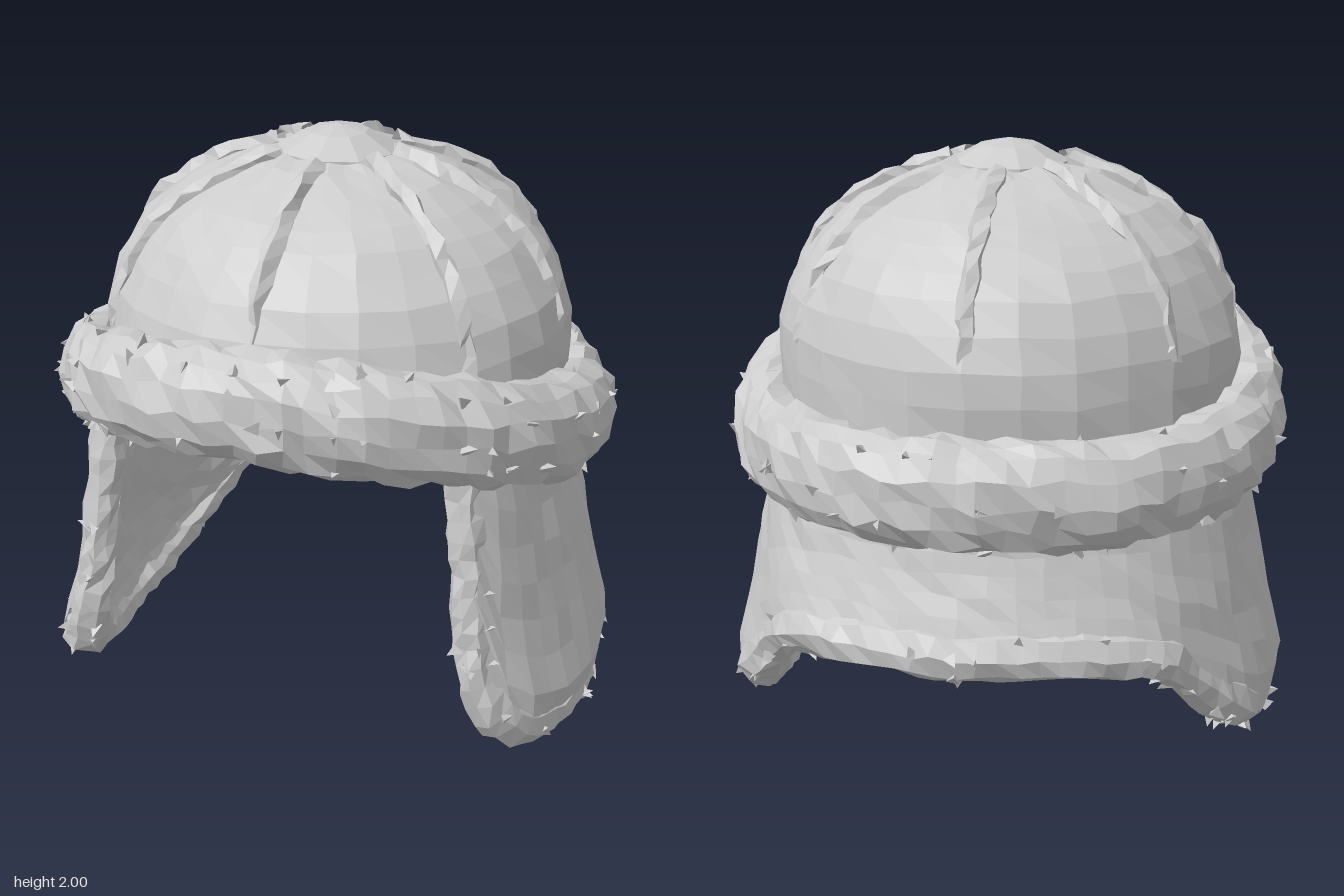
import * as THREE from 'three';
import { mergeGeometries } from 'three/addons/utils/BufferGeometryUtils.js';
import { ParametricGeometry } from 'three/addons/geometries/ParametricGeometry.js';

const paleGrey = new THREE.MeshStandardMaterial({ color: 0xcccccc, flatShading: true, side: THREE.DoubleSide });
paleGrey.name = 'paleGrey';

const { sin, cos, PI } = Math;
const rad = THREE.MathUtils.degToRad;
const smooth = THREE.MathUtils.smoothstep;

// Repeatable noise from a position, so that seams stay closed
function noise(x, y, z, k) {
  const r = (a) => Math.round(a * 1000);
  const s = sin(r(x) * 12.9898 + r(y) * 78.233 + r(z) * 37.719 + k * 11.13) * 43758.5453;
  return (s - Math.floor(s)) * 2 - 1;
}

function roughen(geo, amount) {
  const p = geo.attributes.position;
  for (let i = 0; i < p.count; i++) {
    const x = p.getX(i), y = p.getY(i), z = p.getZ(i);
    p.setXYZ(i, x + amount * noise(x, y, z, 1), y + amount * noise(x, y, z, 2), z + amount * noise(x, y, z, 3));
  }
  return geo;
}

// Thicken a tube along its normals by a rule of position
function swell(geo, rule) {
  const p = geo.attributes.position, n = geo.attributes.normal;
  const a = new THREE.Vector3(), b = new THREE.Vector3();
  for (let i = 0; i < p.count; i++) {
    a.fromBufferAttribute(p, i);
    a.addScaledVector(b.fromBufferAttribute(n, i), rule(a));
    p.setXYZ(i, a.x, a.y, a.z);
  }
  return geo;
}

// Small pointed tufts standing on random vertices of a surface
function tufts(geo, count, seed, allow) {
  const list = [], p = geo.attributes.position, n = geo.attributes.normal;
  const up = new THREE.Vector3(0, 1, 0);
  for (let i = 0; list.length < count && i < count * 20; i++) {
    const k = Math.floor((noise(i, seed, 0, 4) * 0.5 + 0.5) * p.count) % p.count;
    const pos = new THREE.Vector3().fromBufferAttribute(p, k);
    if (!allow(pos)) continue;
    const dir = new THREE.Vector3().fromBufferAttribute(n, k);
    dir.x += 0.9 * noise(i, seed, 1, 5);
    dir.y += 0.9 * noise(i, seed, 2, 6);
    dir.z += 0.9 * noise(i, seed, 3, 7);
    dir.normalize();
    const cone = new THREE.ConeGeometry(0.026, 0.05, 3);
    cone.applyQuaternion(new THREE.Quaternion().setFromUnitVectors(up, dir));
    pos.addScaledVector(dir, 0.005);
    list.push(cone.translate(pos.x, pos.y, pos.z));
  }
  return mergeGeometries(list);
}

// Height of the brim's centre line, which rises towards the front
const brimY = (z) => 1.08 + 0.19 * z + 0.16 * z * z;

const domeProfile = new THREE.SplineCurve([
  [0.765, 1.02], [0.785, 1.25], [0.775, 1.43], [0.705, 1.6], [0.61, 1.72],
  [0.49, 1.81], [0.3, 1.895], [0.15, 1.93], [0, 1.94],
].map(([x, y]) => new THREE.Vector2(x, y)));

// Lower edge of the flaps and neck guard: angle from the front, height
const hem = [
  [49.5, 1.12], [49.5, 0.95], [49.5, 0.8], [49.5, 0.5], [51, 0.34], [58, 0.19], [70, 0.11], [86, 0.09],
  [103, 0.115], [115, 0.2], [128, 0.36], [138, 0.47], [155, 0.525], [180, 0.53],
];

function hemY(deg) {
  const a = deg > 180 ? 360 - deg : deg;
  for (let i = 3; i < hem.length - 1; i++) {
    const [a0, y0] = hem[i], [a1, y1] = hem[i + 1];
    if (a <= a1) return y0 + (y1 - y0) * Math.max(0, (a - a0) / (a1 - a0));
  }
  return hem[hem.length - 1][1];
}

// Wall radius: widens downwards, tucks in at the bottom,
// flares at the back and squares off at the front edges
function wallRadius(deg, y) {
  const c = cos(rad(deg));
  const back = smooth(-c, 0.55, 0.8) * (1 - smooth(y, 0.52, 0.82));
  const front = smooth(c, 0.25, 0.65) * (0.03 + 0.03 * smooth(y, 0.5, 1));
  return 0.75 + 0.2 * (1 - y) - 0.08 * (1 - smooth(y, 0.02, 0.28)) + 0.04 * back + front;
}

function wallPoint(deg, y, offset, target) {
  const r = wallRadius(deg, y) + offset;
  return target.set(r * sin(rad(deg)), y, r * cos(rad(deg)));
}

// One face of the wall, a little thicker near the bottom
function wall(side, height) {
  return roughen(new ParametricGeometry((u, v, t) => {
    const deg = 49.5 + 261 * u;
    const top = height(deg), low = hemY(deg);
    const y = low + (top - low) * (side < 0 ? 1 - v : v);
    wallPoint(deg, y, side * (0.055 + 0.02 * (1 - smooth(y, 0.15, 0.45))), t);
  }, 44, 8), 0.007);
}

export function createModel() {
  const model = new THREE.Group();
  const add = (name, geo, parent = model) => {
    const mesh = new THREE.Mesh(geo, paleGrey);
    mesh.name = name;
    parent.add(mesh);
  };

  // Dome, cut off along the brim line
  add('dome', roughen(new ParametricGeometry((u, v, t) => {
    const p = domeProfile.getPoint(v), a = u >= 1 ? 0 : u * 2 * PI;
    const z = p.x * cos(a);
    t.set(p.x * sin(a), Math.max(p.y, brimY(z)), z);
  }, 28, 13), 0.008));

  // Round patch on the crown
  const crown = [[0.2, 1.87], [0.2, 1.925], [0.1, 1.98], [0, 2]].map(([x, y]) => new THREE.Vector2(x, y));
  add('crownPatch', new THREE.LatheGeometry(crown, 9));

  // Eight raised seams, thinning into the dome at their lower ends
  const seams = new THREE.Group();
  seams.name = 'seams';
  model.add(seams);
  [0, 52, 90, 128, 180, 232, 270, 308].forEach((deg) => {
    const pts = [];
    for (let i = 0; i <= 9; i++) {
      const p = domeProfile.getPoint(0.22 + 0.61 * i / 9);
      const r = p.x - 0.01 - (i < 3 ? 0.008 * (3 - i) : 0);
      pts.push(new THREE.Vector3(r * sin(rad(deg)), p.y, r * cos(rad(deg))));
    }
    const tube = new THREE.TubeGeometry(new THREE.CatmullRomCurve3(pts), 14, 0.036, 5);
    add('seam', roughen(tube, 0.011), seams);
  });

  // Thick furry brim
  const brim = new ParametricGeometry((u, v, t) => {
    const a = u >= 1 ? 0 : u * 2 * PI, b = v >= 1 ? 0 : v * 2 * PI;
    const r = 0.81 + 0.135 * cos(b);
    t.set(r * sin(a), brimY(0.81 * cos(a)) + 0.18 * sin(b), r * cos(a));
  }, 72, 14);
  add('brimTufts', tufts(brim, 90, 3, (p) => Math.hypot(p.x, p.z) > 0.8));
  add('brim', roughen(brim, 0.016));

  // Ear flaps and neck guard in one wrapping wall
  add('flapOuter', wall(1, (deg) => brimY(0.78 * cos(rad(deg)))));
  add('flapLining', wall(-1, (deg) => 0.84 + 0.2 * smooth(cos(rad(deg)), 0.2, 0.65)));

  // Shallow vaulted lining inside the cap, rising towards the face
  add('capLining', roughen(new ParametricGeometry((u, v, t) => {
    const a = u >= 1 ? 0 : u * 2 * PI, s = 1 - v;
    const side = smooth(-cos(a), -cos(rad(45)), -cos(rad(75)));
    const low = THREE.MathUtils.lerp(brimY(0.72 * cos(a)) - 0.13, 0.8, side);
    const r = 0.745 * s;
    t.set(r * sin(a), low + (1.24 - low) * (1 - s * s), r * cos(a));
  }, 32, 7), 0.008));

  // Furry hem around the wall's edge, fuller at the bottom and back
  const half = hem.map(([d, y]) => wallPoint(d, y, 0, new THREE.Vector3()));
  const other = half.slice(0, -1).reverse().map((p) => new THREE.Vector3(-p.x, p.y, p.z));
  const edge = new THREE.TubeGeometry(new THREE.CatmullRomCurve3([...half, ...other]), 96, 0.06, 8);
  swell(edge, (p) => 0.026 * (1 - smooth(p.y, 0.2, 0.42)) + 0.025 * smooth(-p.z, 0.55, 0.75));
  add('hemTufts', tufts(edge, 70, 8, (p) => p.y < 0.75 && Math.hypot(p.x, p.z) > 0.87 && p.y > 0.06));
  add('hem', roughen(edge, 0.01));

  return model;
}
